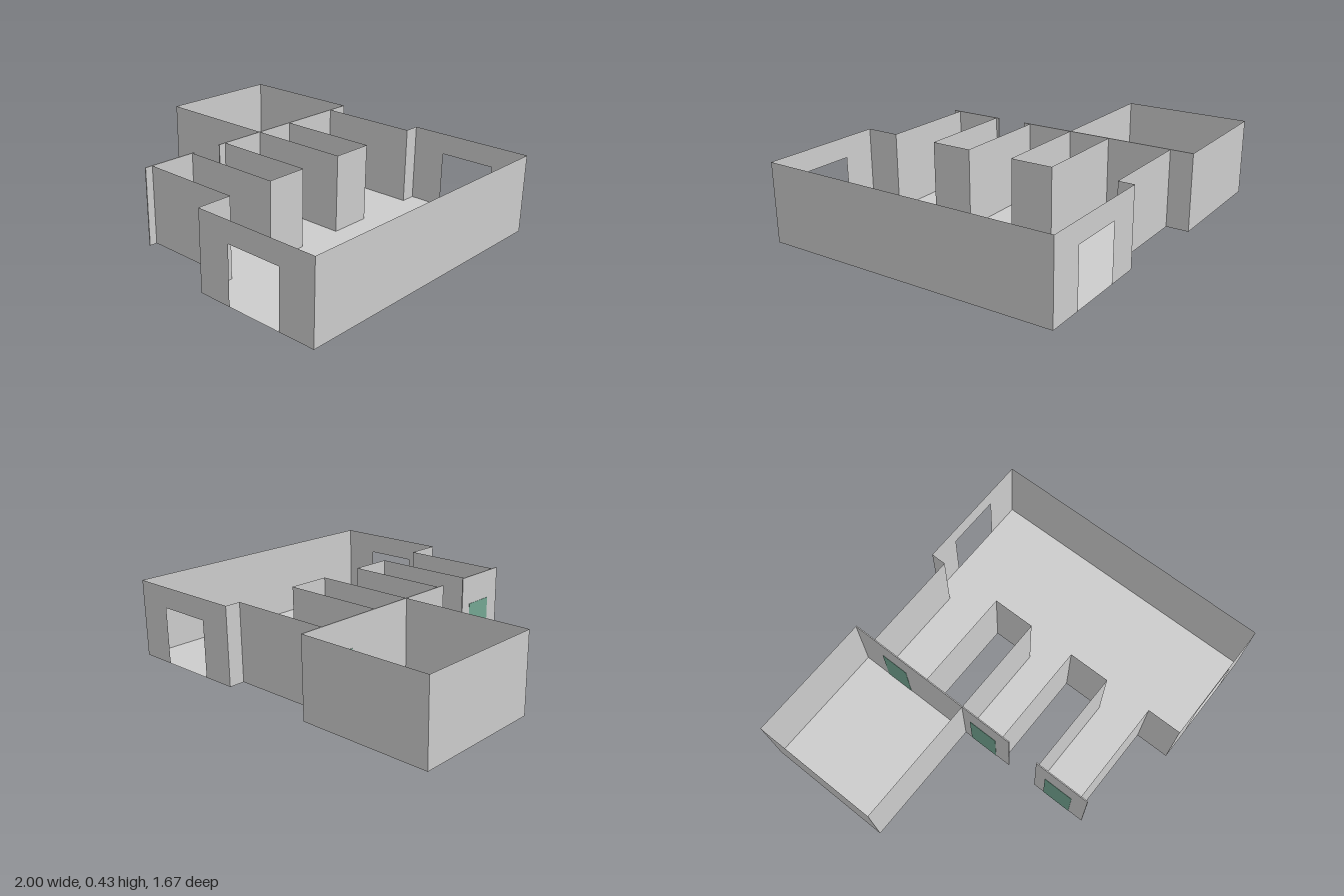
import * as THREE from 'three';

const H = 0.428;

const wallMat = new THREE.MeshStandardMaterial({ color: 0xcccccc, side: THREE.DoubleSide });
wallMat.name = 'plaster grey';
const doorMat = new THREE.MeshStandardMaterial({ color: 0x74a692 });
doorMat.name = 'door green';

function add(parent, name, geometry, material) {
  const mesh = new THREE.Mesh(geometry, material);
  mesh.name = name;
  parent.add(mesh);
  return mesh;
}

// Thin upright wall between two floor points [x, z], with an optional doorway [start, end, height]
function wall(parent, name, a, b, doorway) {
  const dx = b[0] - a[0], dz = b[1] - a[1];
  const length = Math.hypot(dx, dz);
  const s = new THREE.Shape();
  s.moveTo(0, 0);
  if (doorway) {
    const [d0, d1, h] = doorway;
    s.lineTo(d0, 0).lineTo(d0, h).lineTo(d1, h).lineTo(d1, 0);
  }
  s.lineTo(length, 0).lineTo(length, H).lineTo(0, H).closePath();
  const mesh = add(parent, name, new THREE.ShapeGeometry(s), wallMat);
  mesh.position.set(a[0], 0, a[1]);
  mesh.rotation.y = Math.atan2(-dz, dx);
}

function wallRun(parent, name, points) {
  for (let i = 1; i < points.length; i++) wall(parent, name, points[i - 1], points[i]);
}

function floor(parent, name, points) {
  const shape = new THREE.Shape(points.map(([x, z]) => new THREE.Vector2(x, -z)));
  add(parent, name, new THREE.ShapeGeometry(shape).rotateX(-Math.PI / 2), wallMat);
}

function box(parent, name, size, position, material) {
  add(parent, name, new THREE.BoxGeometry(...size), material).position.set(...position);
}

export function createModel() {
  const model = new THREE.Group();
  model.name = 'floorPlan';

  const west = -0.275, inner = 0.3, east = 1, back = -0.8, front = 0.835;
  const corridors = [[-0.713, -0.353], [-0.115, 0.148], [0.38, 0.643]];

  // Main hall: long side wall and two end walls with doorways
  const hall = new THREE.Group();
  hall.name = 'hall';
  model.add(hall);
  wall(hall, 'sideWall', [east, front], [east, back]);
  for (const z of [front, back]) {
    wall(hall, 'endWall', [inner, z], [east, z], [0.19, 0.5, 0.312]);
  }

  // Comb-shaped inner side: hall wall stretches joined by corridor walls
  wallRun(hall, 'innerWall', [[inner, back], [inner, corridors[0][0]], [west, corridors[0][0]]]);
  for (let i = 0; i < 2; i++) {
    const z0 = corridors[i][1], z1 = corridors[i + 1][0];
    wallRun(hall, 'corridorWall', [[west, z0], [inner, z0], [inner, z1], [west, z1]]);
  }
  wallRun(hall, 'innerWall', [[west, corridors[2][1]], [inner, corridors[2][1]], [inner, front]]);

  // One floor for the hall and its corridors
  const outline = [[east, back], [inner, back]];
  for (const [z0, z1] of corridors) {
    outline.push([inner, z0], [west, z0], [west, z1], [inner, z1]);
  }
  outline.push([inner, front], [east, front]);
  floor(model, 'hallFloor', outline);

  // Side room
  const room = new THREE.Group();
  room.name = 'sideRoom';
  model.add(room);
  wallRun(room, 'roomWall', [[west, -0.84], [-1, -0.84], [-1, -0.115], [west, -0.115]]);
  floor(room, 'roomFloor', [[-1, -0.84], [west, -0.84], [west, -0.115], [-1, -0.115]]);

  // Thin panels closing the corridor ends
  for (const [z0, z1] of [[-0.84, 0.19], [0.365, 0.685]]) {
    box(model, 'endPanel', [0.006, H, z1 - z0], [west, H / 2, (z0 + z1) / 2], wallMat);
  }

  // Doors set in the end panels
  for (const [z0, z1] of [[-0.68, -0.515], [-0.07, 0.1], [0.428, 0.598]]) {
    box(model, 'door', [0.0095, 0.27, z1 - z0], [west, 0.136, (z0 + z1) / 2], doorMat);
  }
  box(model, 'doorHandle', [0.012, 0.012, 0.03], [west + 0.01, 0.135, -0.548], doorMat);

  return model;
}
